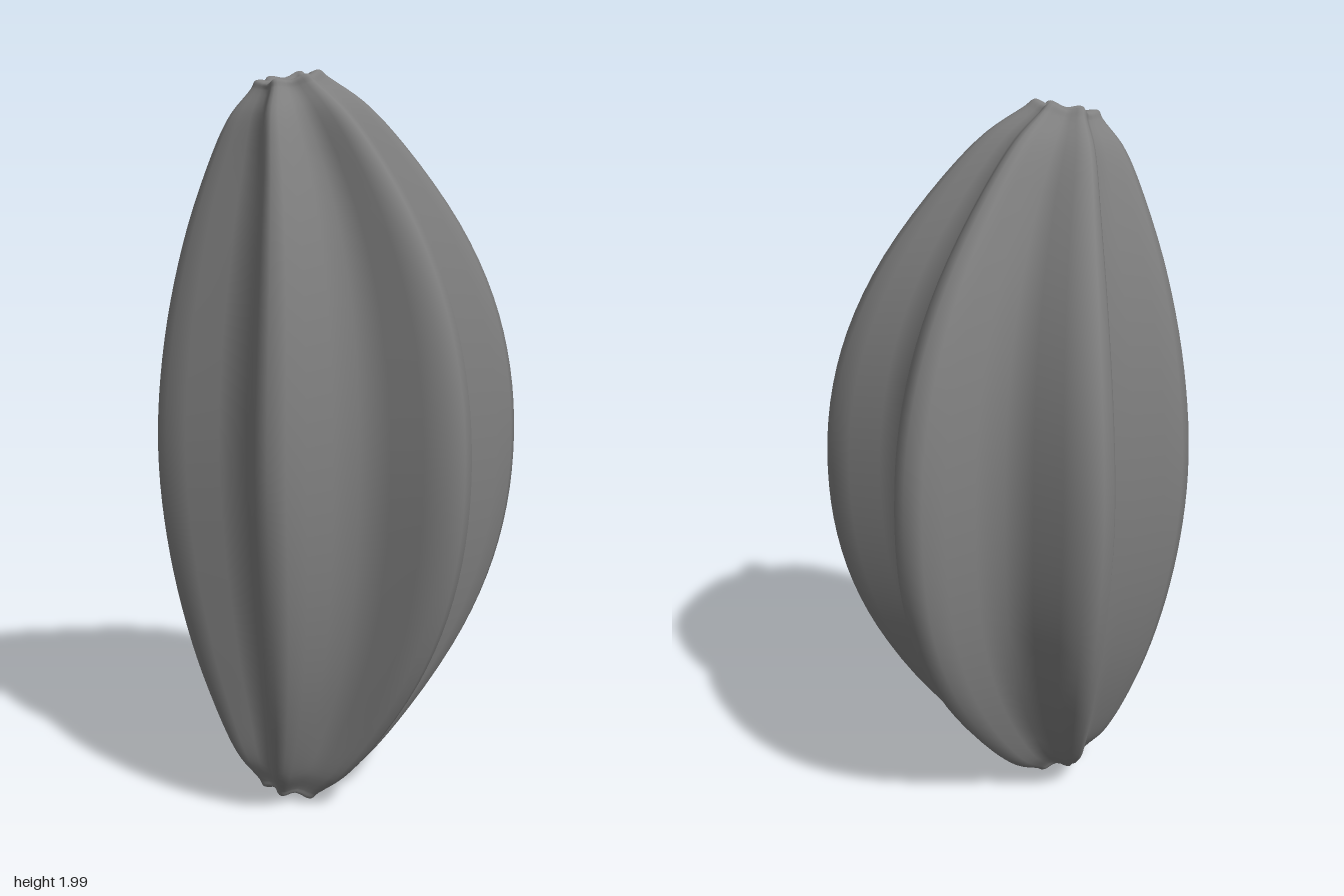
import * as THREE from 'three';
import { mergeVertices } from 'three/addons/utils/BufferGeometryUtils.js';

// Half of one ridge's cross-section: angle from the crest (degrees), radius factor
const RIDGE = [[0, 1], [5, 0.963], [10.2, 0.873], [18.2, 0.722], [30, 0.634]];
const RIDGES = 6;
const STEPS = 8;

// Crest radius against distance from the middle, dished at the end
const END = [[0, 0.964], [0.035, 0.967], [0.064, 0.981], [0.083, 0.982], [0.1, 0.964]];
const FLANK = [[0.176, 0.9], [0.253, 0.8], [0.367, 0.6], [0.443, 0.4], [0.486, 0.2]];

function bodyProfile() {
  const half = [...END, ...FLANK];
  const points = [
    ...half.map(([r, d]) => new THREE.Vector3(r, -d, 0)),
    new THREE.Vector3(0.5, 0, 0),
    ...half.slice().reverse().map(([r, d]) => new THREE.Vector3(r, d, 0)),
  ];
  const curve = new THREE.CatmullRomCurve3(points, false, 'centripetal');
  return curve.getPoints(80).map((p) => new THREE.Vector2(Math.max(0, p.x), p.y));
}

function createBody() {
  const profile = bodyProfile();
  const geometry = new THREE.LatheGeometry(profile, RIDGES * STEPS);
  const pos = geometry.attributes.position;

  for (let i = 0; i < pos.count; i++) {
    const segment = Math.floor(i / profile.length) % (RIDGES * STEPS);
    const { x: r, y } = profile[i % profile.length];
    const d = Math.abs(y);

    // Pull the round section into ridges and valleys, shallower at the ends
    const k = (segment % STEPS) - STEPS / 2;
    const [offset, ridgeFactor] = RIDGE[Math.abs(k)];
    const factor = THREE.MathUtils.lerp(ridgeFactor, 1, 0.55 * d ** 14);
    const angle = THREE.MathUtils.degToRad((Math.floor(segment / STEPS) + 0.5) * 60 + Math.sign(k) * offset);
    const x = Math.sin(angle) * r * factor;
    const z = Math.cos(angle) * r * factor;

    // Bend the ends forward, tilt them, and sink the valleys at the rim
    const tilt = 0.23 * d ** 8 * z;
    const sink = 0.04 * d ** 12 * (1 - ridgeFactor) * Math.min(1, r / 0.08) ** 2;
    pos.setXYZ(i, x, 1 + y - Math.sign(y) * (tilt + sink), z + 0.18 * d ** 2.6);
  }

  // Weld the seam and the poles for smooth shading
  geometry.deleteAttribute('uv');
  geometry.deleteAttribute('normal');
  const welded = mergeVertices(geometry, 1e-4);
  welded.computeVertexNormals();

  const mesh = new THREE.Mesh(welded, new THREE.MeshStandardMaterial({ color: 0x808080 }));
  mesh.name = 'ridgedFruitBody';
  return mesh;
}

export function createModel() {
  const group = new THREE.Group();
  group.name = 'starFruit';
  group.add(createBody());
  return group;
}
